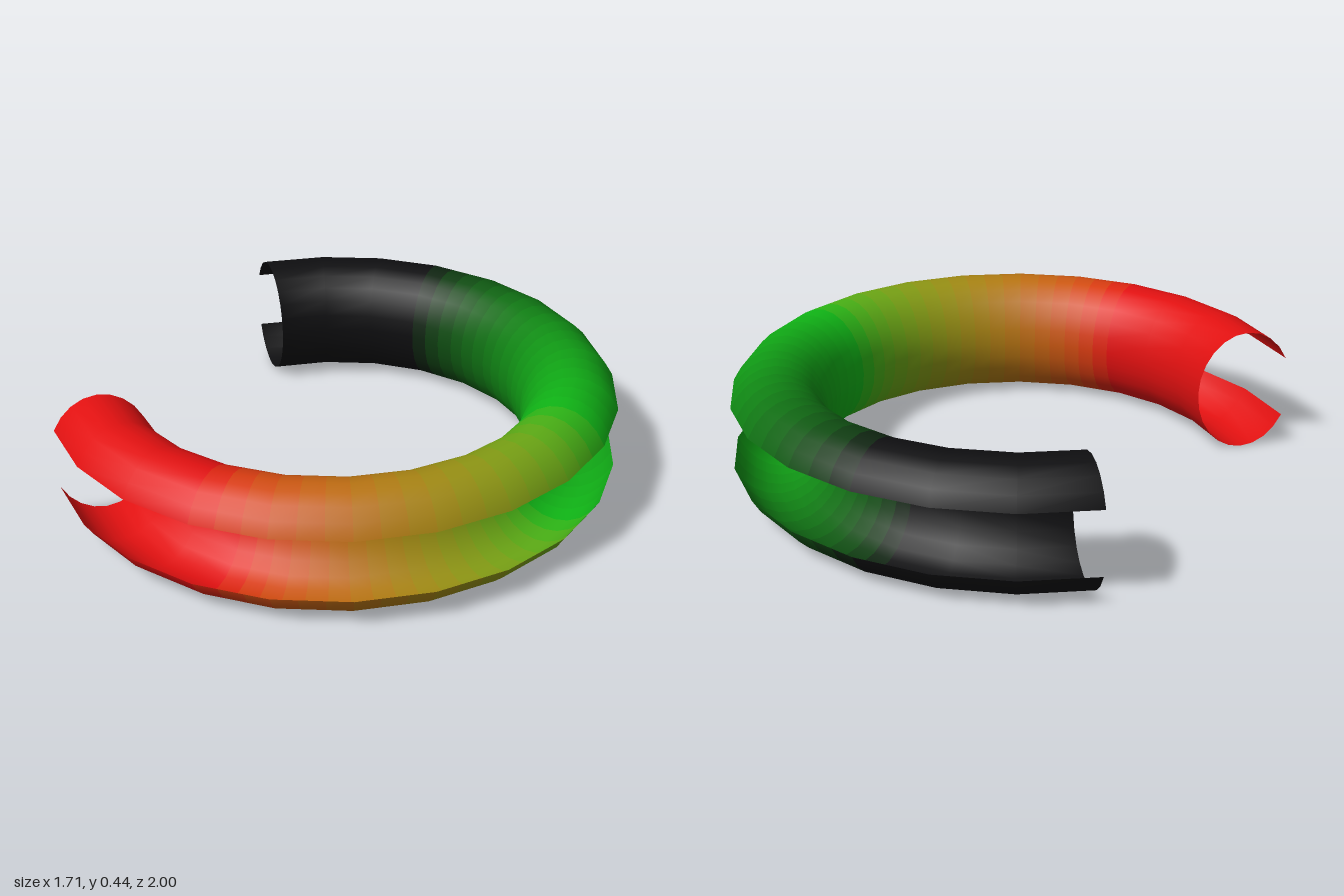
import * as THREE from 'three';

const CENTER_X = -0.15, RING = 0.847;      // ring centre and radius
const TUBE_W = 0.177, TUBE_H = 0.2225;     // half width and half height of the oval tube
const FACET = Math.PI / 12;                // ring facets of 15 degrees
const SIDES = 20;                          // tube sides over 300 degrees, slot faces outward
const STRIPS = 3;                          // colour steps per facet

const RED = new THREE.Color(0xe01010);
const GREEN = new THREE.Color(0x10b816);
const BLACK = new THREE.Color(0x0e0e10);

// Oval cross-section, open by 60 degrees on the outer side
const profile = Array.from({ length: SIDES + 1 }, (_, i) => {
  const a = Math.PI / 6 + (i / SIDES) * (Math.PI * 5 / 3);
  const n = new THREE.Vector2(Math.cos(a) / TUBE_W, Math.sin(a) / TUBE_H).normalize();
  return { r: RING + TUBE_W * Math.cos(a), y: TUBE_H + TUBE_H * Math.sin(a), n };
});

// Unit direction at a facet position, kept on the straight chord between whole facets
function direction(t) {
  const i = Math.floor(t + 1e-6), f = Math.max(0, t - i);
  const at = (k) => new THREE.Vector2(Math.cos(k * FACET), Math.sin(k * FACET));
  return at(i).lerp(at(i + 1), f);
}

// Slotted tube swept through a list of facet positions
function channel(name, stations, color) {
  const pos = [], nor = [], idx = [], row = SIDES + 1;
  stations.forEach((t, s) => {
    const d = direction(t), u = d.clone().normalize();
    profile.forEach((p, j) => {
      pos.push(CENTER_X + p.r * d.x, p.y, p.r * d.y);
      nor.push(p.n.x * u.x, p.n.y, p.n.x * u.y);
      if (s < stations.length - 1 && j < SIDES) {
        const a = s * row + j, b = a + row;
        idx.push(a, a + 1, b, a + 1, b + 1, b);
      }
    });
  });
  const geo = new THREE.BufferGeometry();
  geo.setAttribute('position', new THREE.Float32BufferAttribute(pos, 3));
  geo.setAttribute('normal', new THREE.Float32BufferAttribute(nor, 3));
  geo.setIndex(idx);
  const mesh = new THREE.Mesh(geo, new THREE.MeshStandardMaterial({ color, side: THREE.DoubleSide }));
  mesh.name = name;
  return mesh;
}

export function createModel() {
  const model = new THREE.Group();
  model.name = 'slottedRing';

  // Plain coloured ends
  model.add(channel('redEnd', [6, 7, 8, 9], RED));
  model.add(channel('blackEnd', [-9, -8, -7, -6], BLACK));

  // Blended middle: black through green to red
  const middle = new THREE.Group();
  middle.name = 'blendedMiddle';
  for (let k = -6 * STRIPS; k < 6 * STRIPS; k++) {
    const t0 = k / STRIPS, t1 = (k + 1) / STRIPS, mid = (t0 + t1) / 2;
    const color = GREEN.clone().lerp(mid > 0 ? RED : BLACK, Math.abs(mid) / 6);
    middle.add(channel('colourBand', [t0, t1], color));
  }
  model.add(middle);
  return model;
}
